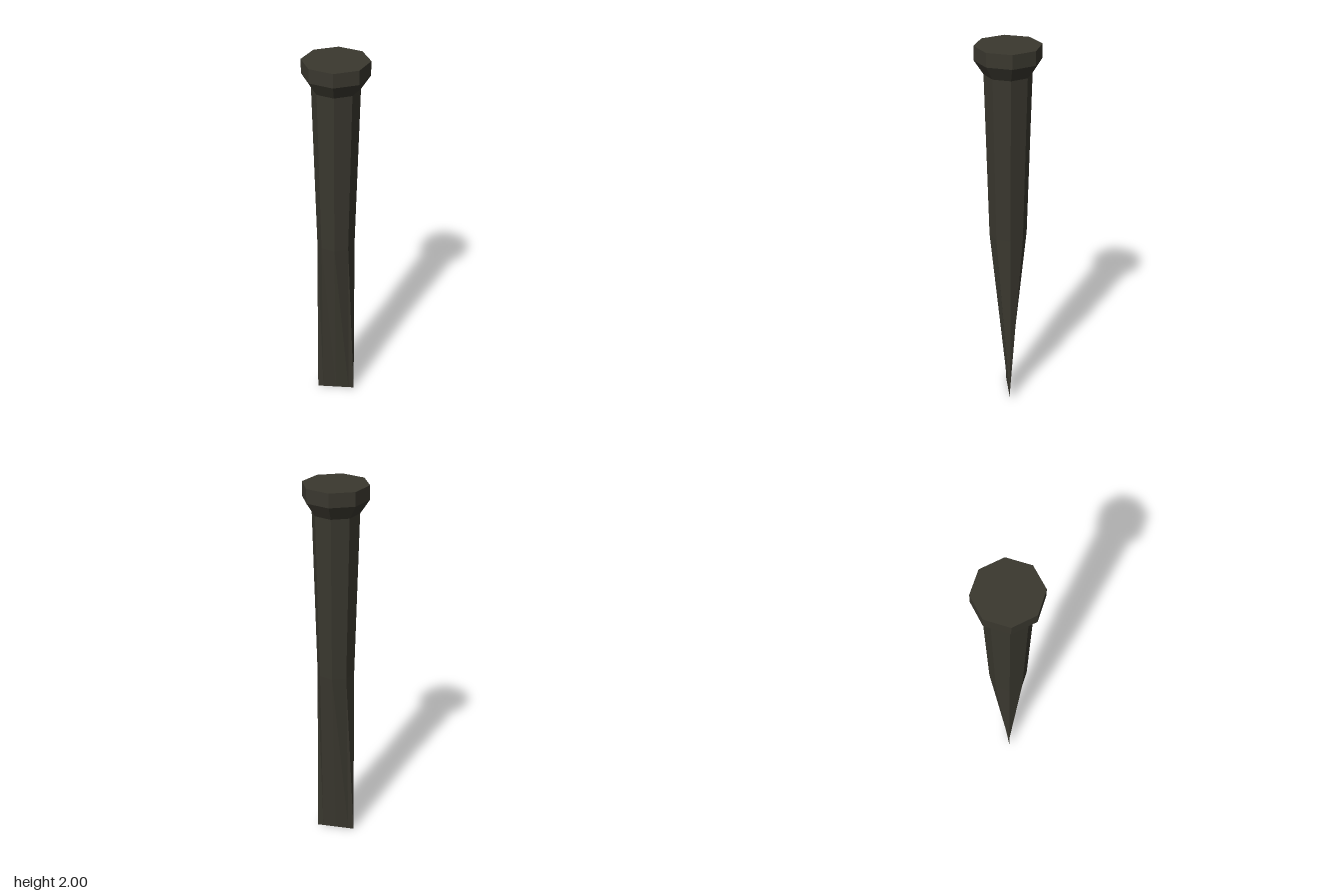
import * as THREE from 'three';

const SIDES = 8;

// Faceted eight-sided surface from [radius, height] points, bottom to top
function facetedLathe(profile) {
  const points = profile.map(([r, y]) => new THREE.Vector2(r, y));
  return new THREE.LatheGeometry(points, SIDES);
}

export function createModel() {
  const iron = new THREE.MeshStandardMaterial({ color: 0x3a382f, flatShading: true });
  iron.name = 'darkIron';

  const spike = new THREE.Group();
  spike.name = 'spike';

  function addPart(name, geometry) {
    const flat = geometry.toNonIndexed();
    flat.computeVertexNormals();
    const mesh = new THREE.Mesh(flat, iron);
    mesh.name = name;
    spike.add(mesh);
  }

  // Head: flared collar, short rim and flat top
  addPart('head', facetedLathe([[0.118, 1.86], [0.164, 1.93], [0.164, 2], [0, 2]]));

  // Shaft: gently tapered octagon
  addPart('shaft', facetedLathe([[0.097, 1], [0.118, 1.86]]));

  // Chisel tip: the octagon is squeezed to a straight edge along x at the bottom
  const tip = facetedLathe([[0.102, 0], [0.097, 1]]);
  const pos = tip.attributes.position;
  for (let i = 0; i < pos.count; i++) {
    if (pos.getY(i) < 0.5) pos.setZ(i, 0);
  }
  addPart('chiselTip', tip);

  return spike;
}
